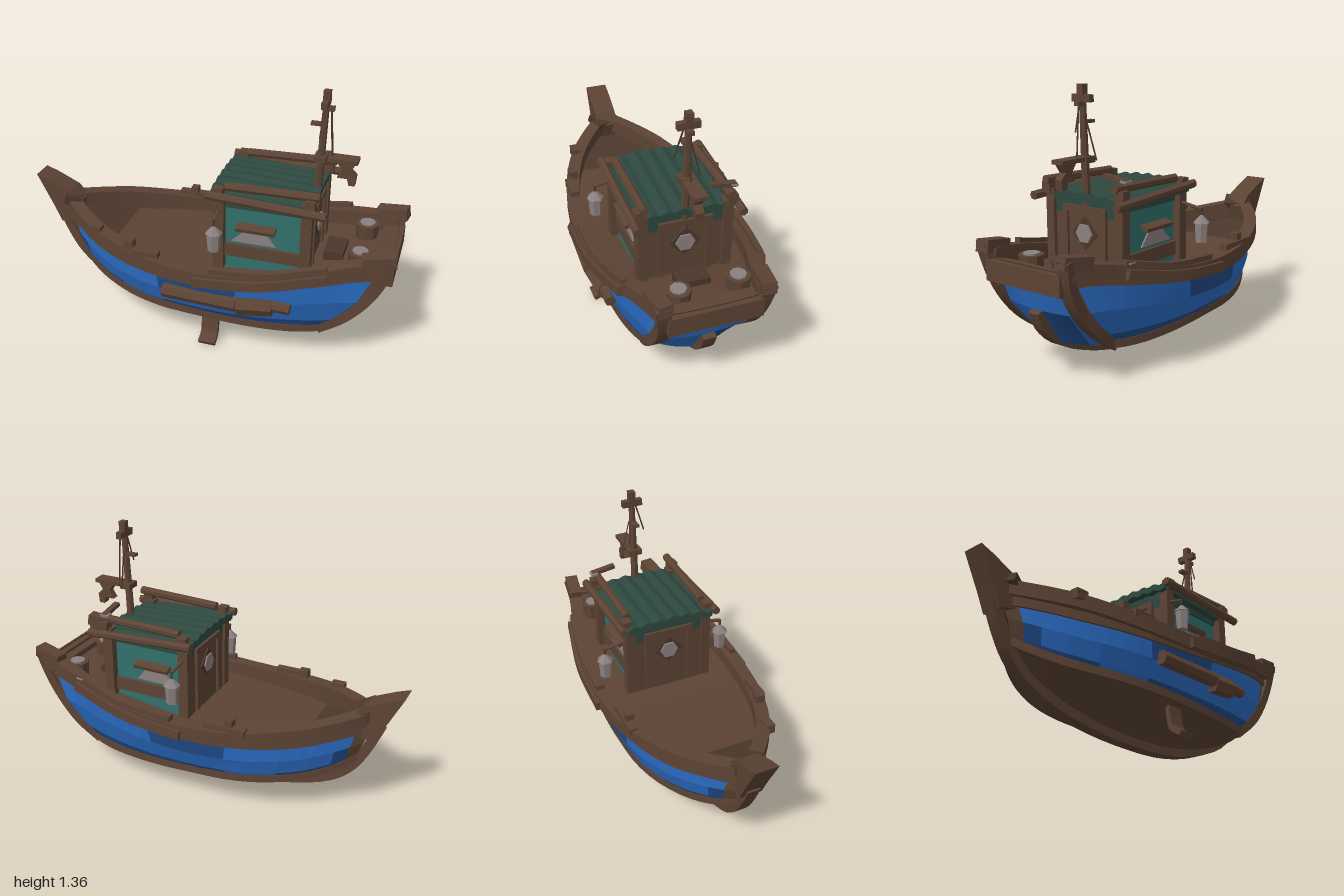
import * as THREE from 'three';

const V = (x, y, z = 0) => new THREE.Vector3(x, y, z);
const AX = { y: V(0, 1, 0), z: V(0, 0, 1) };
const mat = (name, color) =>
  new THREE.MeshStandardMaterial({ name, color, flatShading: true, side: THREE.DoubleSide });

const wood = mat('weathered wood', 0x5c4334);
const darkWood = mat('dark wood', 0x4b372b);
const blue = mat('blue paint', 0x2a6bc2);
const darkBlue = mat('worn blue paint', 0x1f4a86);
const teal = mat('teal cabin paint', 0x31706c);
const roofGreen = mat('green roof', 0x2d483f);
const pale = mat('pale grey', 0x8c8080);

// Hull guide lines from bow to stern: rail, paint top, chine, keel
const line = (...p) => new THREE.CatmullRomCurve3(p.map(q => V(...q)));
const RAIL = line([-.82, .56, .02], [-.7, .535, .13], [-.55, .51, .235], [-.3, .475, .335], [0, .457, .385],
  [.3, .475, .383], [.6, .53, .335], [.8, .575, .275], [.95, .59, .24]);
const PAINT = line([-.83, .48, .02], [-.71, .46, .12], [-.55, .43, .23], [-.3, .41, .335], [0, .405, .385],
  [.3, .43, .383], [.6, .475, .335], [.8, .51, .275], [.925, .515, .235]);
const CHINE = line([-.77, .31, .02], [-.67, .26, .1], [-.52, .22, .19], [-.27, .195, .285], [0, .185, .31],
  [.22, .175, .31], [.4, .17, .295], [.55, .172, .27], [.66, .18, .235]);
const KEEL = line([-.77, .3, 0], [-.64, .2, 0], [-.45, .11, 0], [-.24, .06, 0], [0, .04, 0],
  [.22, .042, 0], [.38, .06, 0], [.52, .09, 0], [.62, .12, 0]);

function polyMesh(name, pos, index, material) {
  const g = new THREE.BufferGeometry();
  g.setAttribute('position', new THREE.Float32BufferAttribute(pos, 3));
  g.setIndex(index);
  const flat = g.toNonIndexed();
  flat.computeVertexNormals();
  const m = new THREE.Mesh(flat, material);
  m.name = name;
  return m;
}

// Surface between two lines, each a function of u
function loft(name, a, b, u0, u1, material, flip = false, n = 24) {
  const pos = [], idx = [];
  for (let i = 0; i <= n; i++) {
    const u = u0 + (u1 - u0) * i / n;
    pos.push(...a(u).toArray(), ...b(u).toArray());
    if (i < n) {
      const k = i * 2;
      if (flip) idx.push(k, k + 3, k + 1, k, k + 2, k + 3);
      else idx.push(k, k + 1, k + 3, k, k + 3, k + 2);
    }
  }
  return polyMesh(name, pos, idx, material);
}

// Rectangular timber swept along a smooth path
function beam(name, pts, w, h, ref = AX.y, n = 14) {
  const c = new THREE.CatmullRomCurve3(pts), pos = [], idx = [];
  for (let i = 0; i <= n; i++) {
    const p = c.getPoint(i / n), t = c.getTangent(i / n);
    const b = ref.clone().cross(t).normalize(), a = t.clone().cross(b);
    for (const [u, v] of [[1, 1], [-1, 1], [-1, -1], [1, -1]])
      pos.push(...p.clone().addScaledVector(b, u * w / 2).addScaledVector(a, v * h / 2).toArray());
    if (i < n) for (let j = 0; j < 4; j++) {
      const q = i * 4 + j, r = i * 4 + (j + 1) % 4;
      idx.push(q, r, r + 4, q, r + 4, q + 4);
    }
  }
  const e = n * 4;
  idx.push(0, 3, 2, 0, 2, 1, e, e + 1, e + 2, e, e + 2, e + 3);
  return polyMesh(name, pos, idx, wood);
}

function put(name, geo, material, x, y, z, rx = 0, ry = 0, rz = 0) {
  const m = new THREE.Mesh(geo, material);
  m.name = name;
  m.position.set(x, y, z);
  m.rotation.set(rx, ry, rz);
  return m;
}
const box = (name, w, h, d, x, y, z, material = wood, ...rot) =>
  put(name, new THREE.BoxGeometry(w, h, d), material, x, y, z, ...rot);
const log = (name, r, a, b, material = wood, sides = 7, r2 = r) => {
  const m = put(name, new THREE.CylinderGeometry(r2, r, a.distanceTo(b), sides), material, 0, 0, 0);
  m.position.copy(a).lerp(b, .5);
  m.quaternion.setFromUnitVectors(AX.y, b.clone().sub(a).normalize());
  return m;
};
function plate(name, pts, depth, material) {
  const g = new THREE.ExtrudeGeometry(new THREE.Shape(pts.map(p => new THREE.Vector2(...p))),
    { depth, bevelEnabled: false });
  return put(name, g.translate(0, 0, -depth / 2), material, 0, 0, 0);
}

// Line on the painted side, k = 0 at its top and 1 at the chine
const sideLine = (k, s) => u => {
  const swell = Math.sin(Math.PI * k);
  return PAINT.getPoint(u).lerp(CHINE.getPoint(u), k)
    .add(V(.05 * swell * u ** 4, 0, .018 * swell)).multiply(V(1, 1, s));
};
// Paint bands down the side: start, end, colours along the length
const BANDS = [
  [0, .4, [[0, .06, wood], [.06, .42, blue], [.42, .6, darkBlue], [.6, .96, blue], [.96, 1, wood]]],
  [.4, .8, [[0, .06, wood], [.06, .13, darkBlue], [.13, .96, blue], [.96, 1, wood]]],
  [.8, 1, [[0, .06, wood], [.06, .3, darkBlue], [.3, .42, blue], [.42, .96, darkBlue], [.96, 1, wood]]],
];

function makeHull() {
  const g = new THREE.Group();
  g.name = 'hull';
  for (const s of [1, -1]) {
    const on = c => u => c.getPoint(u).multiply(V(1, 1, s));
    g.add(loft('bulwark', on(RAIL), on(PAINT), 0, 1, wood, s < 0));
    for (const [k0, k1, runs] of BANDS) for (const [u0, u1, m] of runs)
      g.add(loft('paintedSide', sideLine(k0, s), sideLine(k1, s), u0, u1, m, s < 0, 10));
    g.add(loft('bottom', on(CHINE), on(KEEL), 0, 1, wood, s < 0));
    const path = (c, dy) => Array.from({ length: 13 }, (_, i) => on(c)(i / 12).add(V(0, dy, 0)));
    g.add(beam('topRail', path(RAIL, 0), .07, .07, AX.y, 28));
    g.add(beam('paintStrip', path(PAINT, .02), .025, .045, AX.y, 28));
    g.add(beam('chineStrip', path(CHINE, .005), .03, .04, AX.y, 28));
    // Stern corner post ending in a raised horn
    g.add(beam('sternPost', [V(.965, .65, .255 * s), V(.925, .5, .235 * s), V(.855, .375, .23 * s),
      V(.755, .265, .232 * s), V(.63, .17, .22 * s)], .05, .065, AX.z));
    g.add(box('sternHorn', .16, .06, .07, .91, .63, .255 * s, wood, 0, .15 * s, .15));
    // Rubbing planks outside the rail
    g.add(beam('rubPlank', [V(.02, .445, .425 * s), V(.35, .475, .415 * s), V(.68, .54, .355 * s)], .035, .05));
    g.add(beam('upperPlank', [V(.1, .505, .4 * s), V(.4, .53, .39 * s), V(.68, .59, .34 * s)], .03, .03));
  }
  g.add(box('wornPatch', .04, .008, .03, .65, .588, -.35, pale));
  g.add(loft('deck', u => PAINT.getPoint(u).multiply(V(1, 1, -1)), u => PAINT.getPoint(u), 0, 1, wood));
  g.add(loft('foredeck', u => V(-.84 + .32 * u, .5 - .07 * u, -.02 - .22 * u),
    u => V(-.84 + .32 * u, .5 - .07 * u, .02 + .22 * u), 0, 1, darkWood, false, 2));

  // Transom, rounded outwards more towards its foot
  const row = (p, bulge) => u => V(p.x + bulge * (1 - (1 - 2 * u) ** 2), p.y, p.z * (1 - 2 * u));
  const rows = [row(RAIL.getPoint(1), .01), row(PAINT.getPoint(1), .015),
    row(sideLine(.45, 1)(1), .04), row(CHINE.getPoint(1), .12), row(KEEL.getPoint(1), 0)];
  g.add(loft('transomTop', rows[0], rows[1], 0, 1, wood));
  g.add(loft('transomPanel', rows[1], rows[2], 0, 1, blue, false, 12));
  for (const [u0, u1, m] of [[0, .55, blue], [.55, .85, darkBlue], [.85, 1, blue]])
    g.add(loft('transomPanel', rows[2], rows[3], u0, u1, m, false, 6));
  g.add(loft('transomBottom', rows[3], rows[4], 0, 1, wood));
  g.add(box('transomRail', .06, .1, .46, .95, .53, 0));

  // Keel timber and flared bow head
  g.add(beam('keel', [V(-.88, .5), V(-.82, .365), V(-.755, .26), V(-.66, .175), V(-.48, .1), V(-.25, .055),
    V(0, .036), V(.3, .042), V(.55, .095), V(.77, .19), V(.86, .28), V(.895, .36)], .05, .065, AX.z, 32));
  g.add(plate('bowHead', [[-1, .71], [-.93, .685], [-.81, .63], [-.75, .57], [-.78, .46], [-.87, .44],
    [-.91, .53]], .12, wood));
  g.add(box('bowLashing', .1, .05, .15, -.81, .58, .01, darkWood, 0, .4, -.4));
  return g;
}

function makeCabin() {
  const g = new THREE.Group();
  g.name = 'cabin';
  g.add(box('walls', .44, .42, .4, .32, .62, 0, teal));
  for (const s of [1, -1]) {
    // End wall with framed door and pale lozenge window
    const x = .32 + s * .225;
    g.add(box('endWall', .02, .32, .4, x, .58, 0));
    g.add(box('endGable', .02, .09, .4, x, .785, 0, roofGreen));
    g.add(box('door', .024, .36, .26, x, .6, 0));
    for (const z of [-.12, .12]) g.add(box('doorFrame', .03, .34, .03, x + s * .01, .6, z));
    g.add(box('doorLintel', .03, .03, .27, x + s * .01, .77, 0));
    g.add(put('doorWindowFrame', new THREE.CylinderGeometry(.08, .08, .02, 4), darkWood, x + s * .01, .655, 0, 0, 0, Math.PI / 2));
    g.add(put('doorWindow', new THREE.CylinderGeometry(.05, .05, .008, 6), pale, x + s * .024, .655, 0, 0, 0, Math.PI / 2));
    // Corner posts, side window and its awning
    for (const px of [.1, .545]) g.add(box('cornerPost', .055, .42, .05, px, .64, .215 * s));
    g.add(box('sideSill', .44, .07, .03, .32, .53, .2 * s));
    g.add(box('eaveBoard', .44, .05, .012, .32, .795, .204 * s, roofGreen));
    const win = plate('sideWindow', [[.16, .58], [.39, .58], [.33, .655], [.24, .655]], .008, pale);
    win.position.z = .204 * s;
    g.add(win, box('windowAwning', .2, .02, .05, .29, .675, .22 * s, wood, .3 * s));
    // Roof timbers
    g.add(log('eaveLog', .022, V(.04, .85, .26 * s), V(.64, .82, .26 * s)));
    g.add(log('roofLog', .022, V(.13, .885, .21 * s), V(.6, .897, .215 * s)));
    for (const px of [.1, .56]) g.add(box('roofBlock', .05, .06, .05, px, .855, .23 * s));
    // Hanging lantern
    const lz = s > 0 ? .313 : -.352;
    g.add(log('lanternArm', .009, V(.1, .76, .23 * s), V(.1, .74, lz)));
    g.add(put('lanternBody', new THREE.CylinderGeometry(.036, .03, .1, 6), pale, .1, .625, lz));
    g.add(put('lanternCap', new THREE.ConeGeometry(.044, .045, 6), pale, .1, .695, lz));
    g.add(log('lanternHook', .006, V(.1, .71, lz), V(.1, .745, lz), darkWood));
  }
  // Ribbed, gently arched roof
  const roof = new THREE.BoxGeometry(.52, .035, .48, 2, 1, 28), p = roof.attributes.position;
  for (let i = 0; i < p.count; i++) {
    const z = p.getZ(i);
    p.setY(i, p.getY(i) + .006 * Math.sin(z * 84) - .35 * z * z);
  }
  roof.computeVertexNormals();
  g.add(put('roof', roof, roofGreen, .31, .842, 0, 0, 0, -.04));
  g.add(box('looseShingle', .03, .02, .13, .55, .935, -.185, wood, -.15));
  g.add(box('shingleTip', .045, .012, .035, .545, .927, -.24, pale, -.15));
  return g;
}

function makeMast() {
  const g = new THREE.Group();
  g.name = 'mast';
  g.add(log('mastPole', .024, V(.535, .5, 0), V(.565, 1.36, 0), wood, 7, .016));
  g.add(box('crossbar', .03, .035, .11, .562, 1.295, 0));
  g.add(box('mastCap', .035, .05, .035, .565, 1.335, 0));
  g.add(box('mastCollar', .06, .03, .075, .553, 1.01, 0));
  g.add(box('mastCleat', .07, .015, .03, .53, 1.185, 0));
  g.add(box('pulley', .03, .02, .03, .59, 1.27, 0));
  g.add(log('rope', .005, V(.59, 1.27, 0), V(.61, 1, 0), darkWood, 4));
  g.add(log('stay', .004, V(.56, 1.28, .02), V(.55, 1.13, .06), darkWood, 4));
  g.add(log('stay', .004, V(.56, 1.19, -.02), V(.55, 1.01, -.07), darkWood, 4));
  g.add(box('hangingBar', .15, .02, .07, .665, 1.015, 0));
  g.add(plate('hangingBracket', [[.63, 1.01], [.735, 1.01], [.705, .965], [.735, .935], [.73, .885],
    [.7, .885], [.69, .92], [.64, .92], [.665, .96]], .04, wood));
  return g;
}

function makeFittings() {
  const g = new THREE.Group();
  g.name = 'deckFittings';
  // Tubs and bench on the stern deck
  for (const [x, z] of [[.79, -.18], [.8, .12]]) {
    g.add(put('tub', new THREE.CylinderGeometry(.062, .055, .1, 9), wood, x, .535, z));
    g.add(put('tubLid', new THREE.CylinderGeometry(.04, .04, .008, 9), pale, x, .589, z));
  }
  g.add(box('sternBench', .06, .03, .44, .9, .55, 0));
  g.add(box('sternHatch', .1, .06, .16, .66, .5, 0, darkWood));
  // Bollards and cleats on the rail
  for (const [x, y, z, w, h] of [[-.35, .52, .32, .05, .08], [-.25, .51, .35, .14, .04], [-.57, .54, .25, .07, .05],
    [-.2, .505, -.36, .22, .04], [-.22, .535, -.35, .04, .05], [.12, .5, -.39, .06, .04]])
    g.add(box('cleat', w, h, .045, x, y, z));
  // Fender log and dangling step on the left-hand side
  g.add(log('fenderLog', .038, V(-.15, .33, .375), V(.24, .325, .385)));
  g.add(log('fenderBlock', .055, V(.24, .315, .365), V(.42, .33, .355), wood, 6, .05));
  g.add(log('fenderTip', .03, V(.4, .34, .36), V(.51, .335, .36)));
  g.add(beam('hangingStep', [V(.07, .18, .26), V(.07, .1, .27), V(.07, .045, .285), V(.07, .012, .34)],
    .09, .025, AX.z, 8));
  return g;
}

export function createModel() {
  const boat = new THREE.Group();
  boat.name = 'fishingBoat';
  boat.add(makeHull(), makeCabin(), makeMast(), makeFittings());
  return boat;
}
